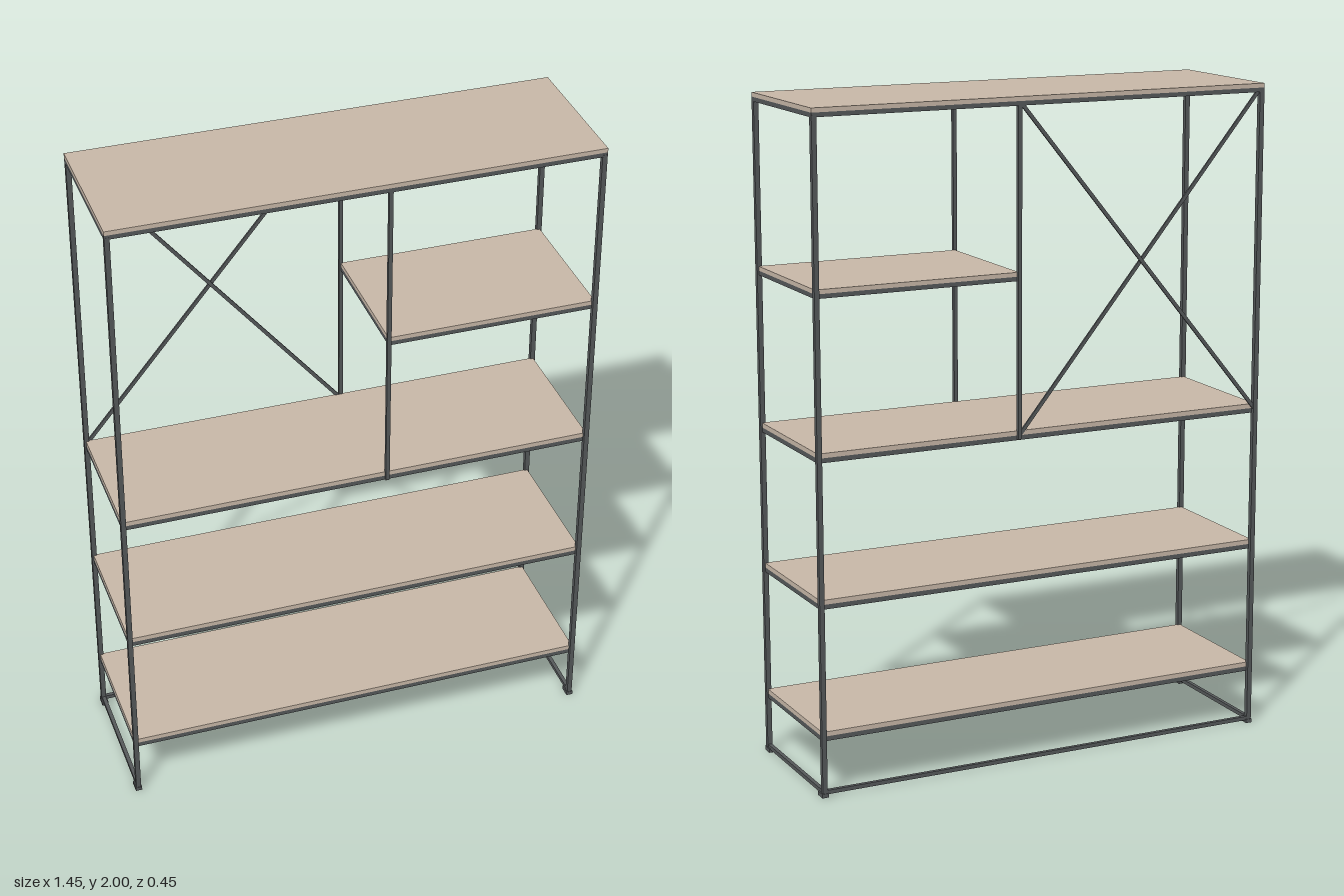
import * as THREE from 'three';

const steel = new THREE.MeshStandardMaterial({ color: 0x55585a });
const wood = new THREE.MeshStandardMaterial({ color: 0xc8b8a8 });

const X = 0.717, Z = 0.218;   // post centre lines
const T = 0.015;              // steel tube thickness
const DIVIDER = 0.085;        // x of the divider posts

export function createModel() {
  const model = new THREE.Group();

  // Box given by its extents along each axis
  function box(parent, name, material, x0, x1, y0, y1, z0, z1) {
    const mesh = new THREE.Mesh(new THREE.BoxGeometry(x1 - x0, y1 - y0, z1 - z0), material);
    mesh.position.set((x0 + x1) / 2, (y0 + y1) / 2, (z0 + z1) / 2);
    mesh.name = name;
    parent.add(mesh);
    return mesh;
  }

  // Flat triangular plate in a frame corner; sx, sz point towards the inside
  function gusset(parent, x, y, z, sx, sz) {
    const size = 0.065;
    const corners = [[0, 0], [sx * size, 0], [0, sz * size]];
    const shape = new THREE.Shape(corners.map(([a, b]) => new THREE.Vector2(a, b)));
    const geometry = new THREE.ExtrudeGeometry(shape, { depth: 0.004, bevelEnabled: false });
    geometry.rotateX(Math.PI / 2);
    const mesh = new THREE.Mesh(geometry, steel);
    mesh.position.set(x, y, z);
    mesh.name = 'cornerGusset';
    parent.add(mesh);
  }

  // Wooden board on a rectangular steel frame with corner gussets
  function shelf(name, x0, x1, depth, top, height, rail) {
    const group = new THREE.Group();
    group.name = name;
    const mid = top - height * 0.5, low = top - height;
    box(group, 'board', wood, x0, x1, mid, top, -depth, depth);
    for (const s of [-1, 1]) {
      const z = s * (depth - T / 2);
      box(group, 'frameLongRail', steel, x0, x1, low, mid, z - T / 2, z + T / 2);
      const x = s < 0 ? x0 : x1 - T;
      box(group, 'frameEndRail', steel, x, x + T, low, mid, -depth + T, depth - T);
      for (const t of [-1, 1]) {
        gusset(group, s < 0 ? x0 + T : x1 - T, mid - 0.003, t * (depth - T), -s, -t);
      }
    }
    if (rail) box(group, 'centreRail', steel, x0 + T, x1 - T, low + 0.003, mid, -0.018, 0.018);
    model.add(group);
    return group;
  }

  // Corner posts with foot plates
  for (const sx of [-1, 1]) for (const sz of [-1, 1]) {
    const x = sx * X, z = sz * Z;
    box(model, 'cornerPost', steel, x - T / 2, x + T / 2, 0.005, 1.98, z - T / 2, z + T / 2);
    const zc = sz * (Z - 0.008);
    box(model, 'footPlate', steel, x - 0.01, x + 0.01, 0, 0.012, zc - 0.017, zc + 0.017);
  }

  // Base bars along both ends and the back
  for (const sx of [-1, 1]) {
    box(model, 'baseEndBar', steel, sx * X - 0.006, sx * X + 0.006, 0.009, 0.021, -Z, Z);
  }
  box(model, 'baseBackBar', steel, -X, X, 0.009, 0.021, -Z - 0.006, -Z + 0.006);

  // Shelves
  [['lowerShelf', 0.197], ['secondShelf', 0.594], ['middleShelf', 1.025]].forEach(([name, y]) =>
    shelf(name, -0.719, 0.719, 0.215, y, 0.028, true));
  shelf('shortShelf', DIVIDER, 0.719, 0.215, 1.494, 0.026, false);
  const topShelf = shelf('topShelf', -0.725, 0.725, 0.225, 2, 0.026, false);

  // Cross rail and gussets beneath the top, in line with the divider
  box(topShelf, 'crossRail', steel, DIVIDER - T / 2, DIVIDER + T / 2, 1.974, 1.987, -0.21, 0.21);
  for (const s of [-1, 1]) gusset(topShelf, DIVIDER + T / 2, 1.984, s * 0.21, 1, -s);

  // Divider posts, front and back
  for (const s of [-1, 1]) {
    box(model, 'dividerPost', steel, DIVIDER - 0.006, DIVIDER + 0.006, 1, 1.98, s * Z - 0.006, s * Z + 0.006);
  }

  // Crossed back braces
  const left = -0.712, right = 0.08, bottom = 1.015, top = 1.98;
  for (const s of [-1, 1]) {
    const length = Math.hypot(right - left, top - bottom);
    const brace = new THREE.Mesh(new THREE.BoxGeometry(0.011, length, 0.006), steel);
    brace.position.set((left + right) / 2, (top + bottom) / 2, -Z + s * 0.003);
    brace.rotation.z = s * Math.atan2(right - left, top - bottom);
    brace.name = 'crossBrace';
    model.add(brace);
  }

  return model;
}
